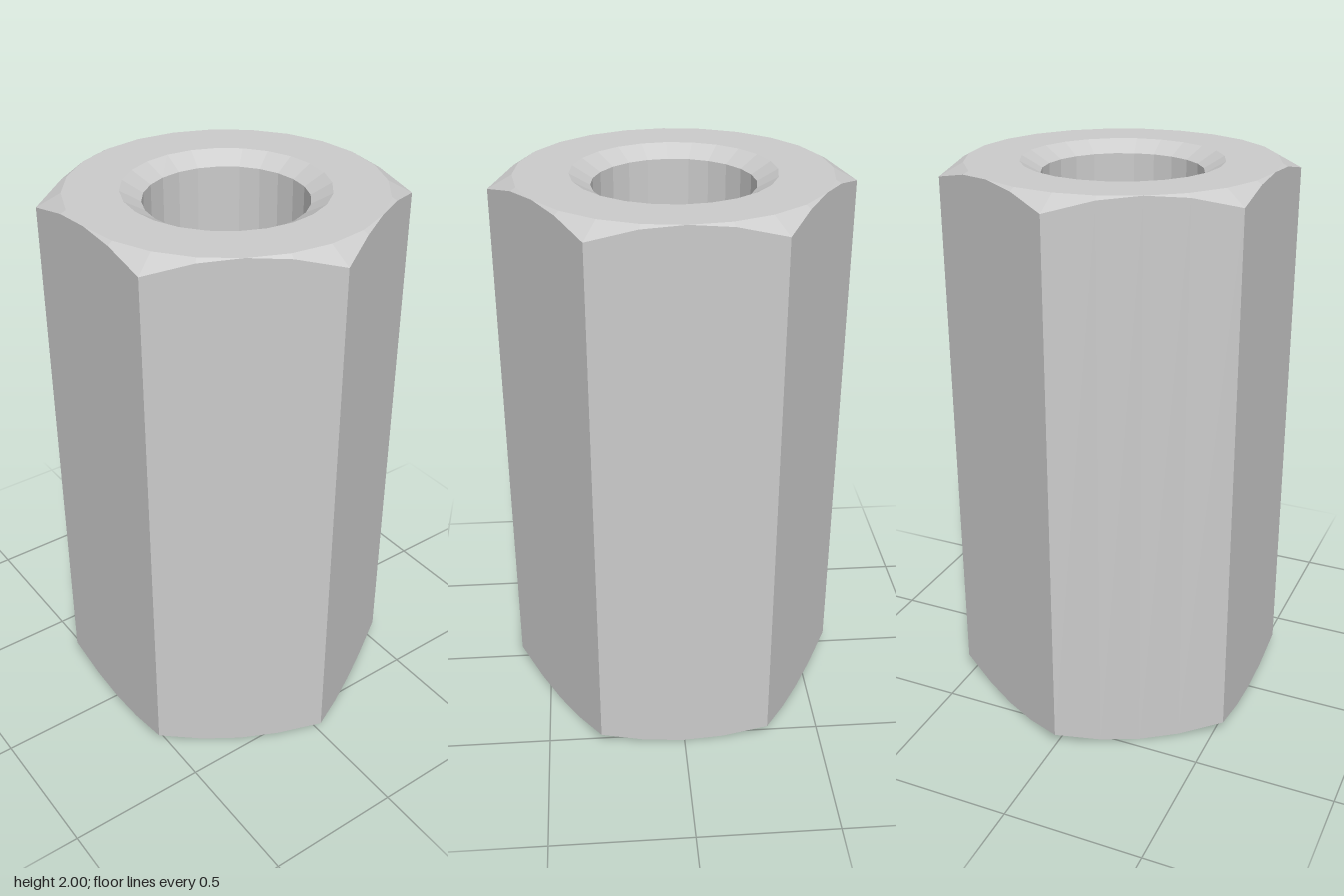
import * as THREE from 'three';

const SIDES = 24;          // facets of every round part, four per hexagon side
const HEIGHT = 2;
const APOTHEM = 0.533;     // centre to the middle of a flat
const BORE = 0.277;
const SINK = 0.347;        // countersink mouth
const SINK_DEPTH = 0.04;
const SLOPE = 0.56;        // chamfer drop per unit of radius

// Distance from the axis to the hexagon wall, corners on the x axis
const hexRadius = (a) => {
  const sector = Math.PI / 3;
  const fromFlat = (a % sector) - sector / 2;
  return APOTHEM / Math.cos(fromFlat);
};
const chamferDrop = (a) => (hexRadius(a) - APOTHEM) * SLOPE;

// Rings are functions of the angle giving [radius, y]
const circle = (r, y) => () => [r, y];
const hexBottom = (a) => [hexRadius(a), chamferDrop(a)];
const hexTop = (a) => [hexRadius(a), HEIGHT - chamferDrop(a)];

const material = new THREE.MeshStandardMaterial({ color: 0xcccccc, flatShading: true });

// Skin consecutive rings with facets
function loft(name, rings) {
  const points = [], index = [];
  for (const ring of rings) {
    for (let j = 0; j < SIDES; j++) {
      const a = (j / SIDES) * Math.PI * 2;
      const [r, y] = ring(a);
      points.push(r * Math.cos(a), y, -r * Math.sin(a));
    }
  }
  for (let i = 0; i < rings.length - 1; i++) {
    for (let j = 0; j < SIDES; j++) {
      const k = (j + 1) % SIDES;
      const a = i * SIDES + j, b = i * SIDES + k;
      const c = b + SIDES, d = a + SIDES;
      index.push(a, b, c, a, c, d);
    }
  }
  const indexed = new THREE.BufferGeometry();
  indexed.setAttribute('position', new THREE.Float32BufferAttribute(points, 3));
  indexed.setIndex(index);
  const geometry = indexed.toNonIndexed();
  geometry.computeVertexNormals();
  const mesh = new THREE.Mesh(geometry, material);
  mesh.name = name;
  return mesh;
}

export function createModel() {
  const group = new THREE.Group();
  group.name = 'hexStandoff';

  const rimTop = circle(APOTHEM, HEIGHT), rimBottom = circle(APOTHEM, 0);
  const mouthTop = circle(SINK, HEIGHT), mouthBottom = circle(SINK, 0);
  const boreTop = circle(BORE, HEIGHT - SINK_DEPTH), boreBottom = circle(BORE, SINK_DEPTH);

  group.add(
    loft('hexWall', [hexBottom, hexTop]),
    // Conical corner cuts and flat end faces
    loft('topFace', [hexTop, rimTop, mouthTop]),
    loft('bottomFace', [mouthBottom, rimBottom, hexBottom]),
    // Through hole with a countersink at each end
    loft('bore', [mouthTop, boreTop, boreBottom, mouthBottom])
  );
  return group;
}
